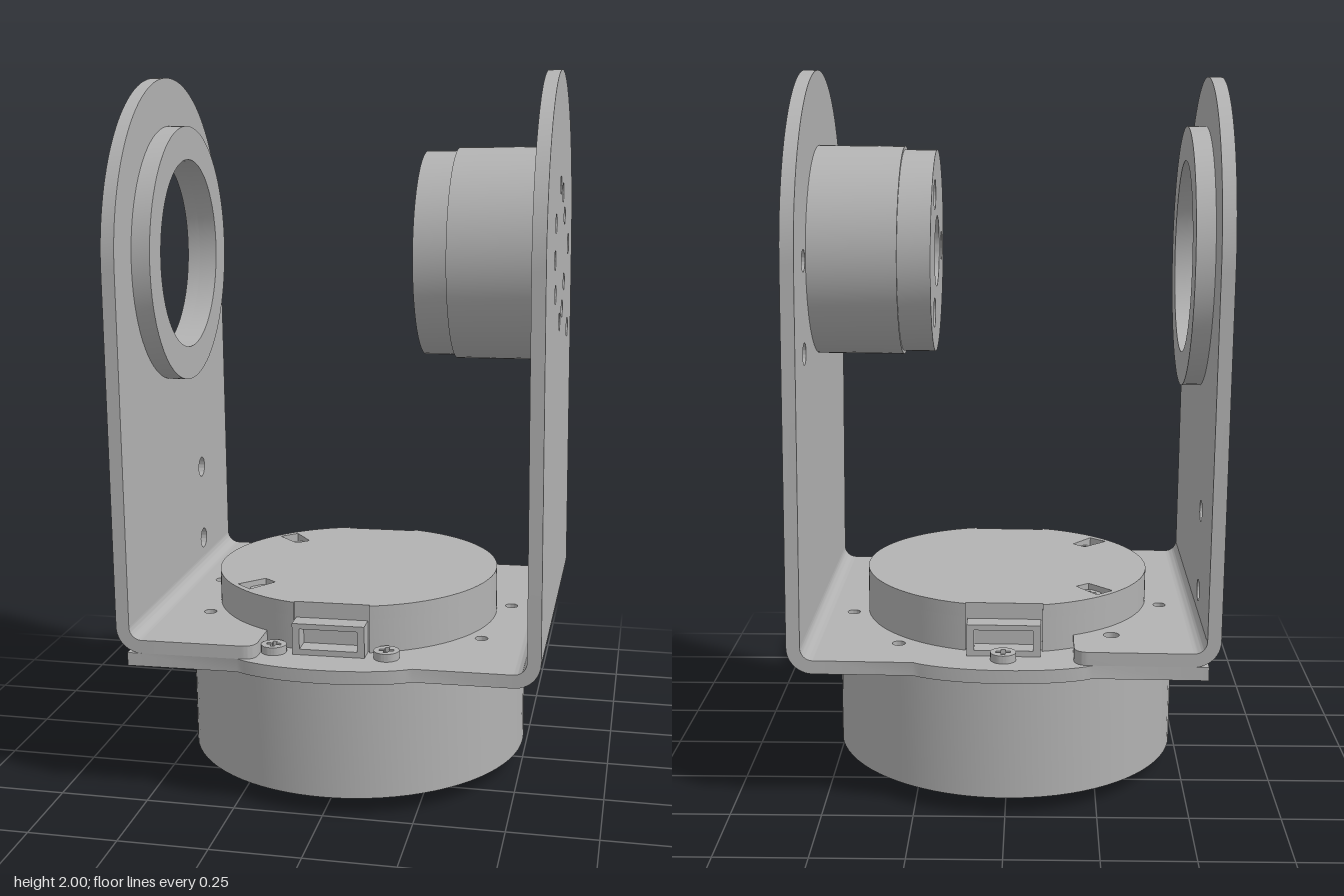
import * as THREE from 'three';
import { toCreasedNormals } from 'three/addons/utils/BufferGeometryUtils.js';

const grey = new THREE.MeshStandardMaterial({ color: 0xb2b2b2 });
grey.name = 'bareMetal';

const HALF = 0.58;    // half width over the arms
const SHEET = 0.037;  // sheet metal thickness
const BEND = 0.072;   // outer bend radius

function addMesh(parent, name, geometry) {
  const mesh = new THREE.Mesh(toCreasedNormals(geometry, 0.5), grey);
  mesh.name = name;
  parent.add(mesh);
  return mesh;
}

// holes are [x, y, radius]
function punch(shape, holes) {
  for (const [x, y, r] of holes) {
    const path = new THREE.Path();
    path.absarc(x, y, r, 0, Math.PI * 2, true);
    shape.holes.push(path);
  }
  return shape;
}

function disc(r, holes = []) {
  const shape = new THREE.Shape();
  shape.absarc(0, 0, r, 0, Math.PI * 2, false);
  return punch(shape, holes);
}

const polygon = (points) => points.map(([x, y]) => new THREE.Vector2(x, y));

function extrude(shape, depth, curveSegments = 32) {
  return new THREE.ExtrudeGeometry(shape, { depth, bevelEnabled: false, curveSegments });
}

// Plate lying flat: shape (x, -z), rising from y
const flat = (shape, y, h, seg) => extrude(shape, h, seg).rotateX(-Math.PI / 2).translate(0, y, 0);
// Plate standing upright: shape (-z, y), going from x towards +x
const upright = (shape, x, w, seg) => extrude(shape, w, seg).rotateY(Math.PI / 2).translate(x, 0, 0);

// Upright arm with a round top
function arm(parent, name, x, bottom, centreY, holes) {
  const s = new THREE.Shape();
  s.moveTo(-0.5, bottom);
  s.lineTo(0.5, bottom);
  s.lineTo(0.5, centreY);
  s.absarc(0, centreY, 0.5, 0, Math.PI, false);
  s.closePath();
  addMesh(parent, name, upright(punch(s, holes), x, SHEET, 40));
}

// Quarter bend between arm and floor
function bend(parent, name, side, bottom) {
  const s = new THREE.Shape();
  const a = side > 0 ? -Math.PI / 2 : Math.PI;
  s.absarc(0, 0, BEND, a, a + Math.PI / 2, false);
  s.absarc(0, 0, BEND - SHEET, a + Math.PI / 2, a, true);
  s.closePath();
  addMesh(parent, name, extrude(s, 1, 8).translate(side * (HALF - BEND), bottom + BEND, -0.5));
}

// Pan head screw with a cross recess
function screw(parent, x, y, z) {
  const w = 0.006, l = 0.02;
  const head = disc(0.035);
  head.holes.push(new THREE.Path(polygon([
    [w, w], [w, l], [-w, l], [-w, w], [-l, w], [-l, -w],
    [-w, -w], [-w, -l], [w, -l], [w, -w], [l, -w], [l, w],
  ])));
  const group = new THREE.Group();
  group.name = 'screw';
  addMesh(group, 'screwHead', flat(head, 0.008, 0.014, 12));
  addMesh(group, 'screwCore', new THREE.CylinderGeometry(0.035, 0.035, 0.01, 24).translate(0, 0.004, 0));
  group.position.set(x, y, z);
  parent.add(group);
}

export function createModel() {
  const model = new THREE.Group();
  model.name = 'motorBracket';
  const body = new THREE.Group();
  body.name = 'assembly';
  body.position.x = 0.01;
  body.rotation.z = 0.011; // the whole assembly leans slightly
  model.add(body);

  // Mounting holes around the big motor rim
  const rim = [150, 190, 230, 270, 310, 350, 30, 70, 110].map((d) => {
    const a = THREE.MathUtils.degToRad(d);
    return [Math.cos(a) * 0.453, -Math.sin(a) * 0.453, 0.018];
  });

  // Motor arm (+x) with bolt circle
  const cy = 1.495;
  const bolts = [];
  for (let i = 0; i < 6; i++) {
    const a = Math.PI / 6 + i * Math.PI / 3;
    bolts.push([Math.cos(a) * 0.19, cy + Math.sin(a) * 0.19, 0.026]);
  }
  const through = [Math.PI, Math.PI / 3, -Math.PI / 3].map((a) => [Math.cos(a) * 0.19, Math.sin(a) * 0.19, 0.027]);
  const lifted = through.map(([x, y, r]) => [x, cy + y, r]);
  arm(body, 'motorArm', HALF - SHEET, 0.405 + BEND, cy,
    [...bolts, ...lifted, [0.335, 1.495, 0.03], [0.335, 1.245, 0.03]]);
  bend(body, 'motorArmBend', 1, 0.405);

  // Ring arm (-x) with window
  const ry = 1.488;
  arm(body, 'ringArm', -HALF, 0.442 + BEND, ry, [[0, ry, 0.27], [0.22, 0.8, 0.03], [0.22, 0.57, 0.03]]);
  bend(body, 'ringArmBend', -1, 0.442);
  const ring = addMesh(body, 'bearingRing', upright(disc(0.365, [[0, 0, 0.27]]), -HALF + SHEET, 0.052, 40));
  ring.position.y = ry;

  // Lower floor plate with bulged front and back edges
  const floor = new THREE.Shape();
  floor.moveTo(-0.55, -0.5);
  floor.lineTo(-0.24, -0.5);
  floor.bezierCurveTo(-0.13, -0.566, 0.13, -0.566, 0.24, -0.5);
  floor.lineTo(HALF - BEND, -0.5);
  floor.lineTo(HALF - BEND, 0.5);
  floor.lineTo(0.24, 0.5);
  floor.bezierCurveTo(0.13, 0.566, -0.13, 0.566, -0.24, 0.5);
  floor.lineTo(-0.55, 0.5);
  floor.closePath();
  addMesh(body, 'floorPlate', flat(punch(floor, rim), 0.405, SHEET, 16));

  // Foot of the ring arm, lying on the floor plate
  const foot = new THREE.Shape();
  foot.moveTo(-HALF + BEND, -0.5);
  foot.lineTo(-0.23, -0.5);
  foot.quadraticCurveTo(-0.19, -0.5, -0.19, -0.46);
  foot.lineTo(-0.19, 0.46);
  foot.quadraticCurveTo(-0.19, 0.5, -0.23, 0.5);
  foot.lineTo(-HALF + BEND, 0.5);
  foot.closePath();
  punch(foot, [...rim.slice(0, 2), [-0.295, 0.355, 0.022]]);
  addMesh(body, 'ringArmFoot', flat(foot, 0.442, SHEET, 12));

  // Big motor below the floor
  addMesh(body, 'baseMotor', flat(disc(0.49, [[0, 0, 0.19], ...rim]), 0.055, 0.335, 40));
  addMesh(body, 'baseMotorNeck', flat(disc(0.475, [[0, 0, 0.19], ...rim]), 0.39, 0.016, 40));
  addMesh(body, 'baseBoss', flat(disc(0.27, [[0, 0, 0.2]]), 0.008, 0.05, 40));
  addMesh(body, 'boreLip', flat(disc(0.192, [[0, 0, 0.16]]), 0.08, 0.03, 32));

  // Round cover with connector notches and screw pockets
  const cover = new THREE.Shape();
  const edge = Math.acos(0.105 / 0.408);
  cover.absarc(0, 0, 0.408, -edge, edge, false);
  cover.lineTo(0.105, 0.385);
  cover.lineTo(-0.105, 0.385);
  cover.absarc(0, 0, 0.408, Math.PI - edge, Math.PI + edge, false);
  cover.lineTo(-0.105, -0.385);
  cover.lineTo(0.105, -0.385);
  cover.closePath();
  addMesh(body, 'coverBase', flat(cover, 0.442, 0.095, 32));
  const lid = cover.clone();
  for (const s of [1, -1]) {
    lid.holes.push(new THREE.Path(polygon([
      [-0.2, s * 0.22], [-0.235, s * 0.19], [-0.3, s * 0.255], [-0.255, s * 0.295],
    ])));
  }
  addMesh(body, 'coverLid', flat(lid, 0.537, 0.038, 32));

  // Connectors and their screws
  for (const s of [1, -1]) {
    const socket = new THREE.Shape(polygon([[-0.1, 0.442], [0.1, 0.442], [0.1, 0.53], [-0.1, 0.53]]));
    socket.holes.push(new THREE.Path(polygon([[-0.08, 0.458], [-0.08, 0.515], [0.08, 0.515], [0.08, 0.458]])));
    addMesh(body, 'connector', extrude(socket, 0.06).translate(0, 0, s > 0 ? 0.38 : -0.44));
    screw(body, -0.235, 0.537, s * 0.232);
  }
  screw(body, 0, 0.442, -0.465);
  screw(body, -0.155, 0.442, 0.425);
  screw(body, 0.158, 0.442, 0.425);

  // Small motor on the motor arm
  const motor = new THREE.Group();
  motor.name = 'armMotor';
  motor.position.y = cy;
  body.add(motor);
  addMesh(motor, 'armMotorBody', upright(disc(0.294, through), 0.3, HALF - SHEET - 0.3, 40));
  const wide = through.map(([x, y]) => [x, y, 0.042]);
  addMesh(motor, 'armMotorCap', upright(disc(0.285, [[0, 0, 0.1], ...wide]), 0.21, 0.09, 40));
  return model;
}
